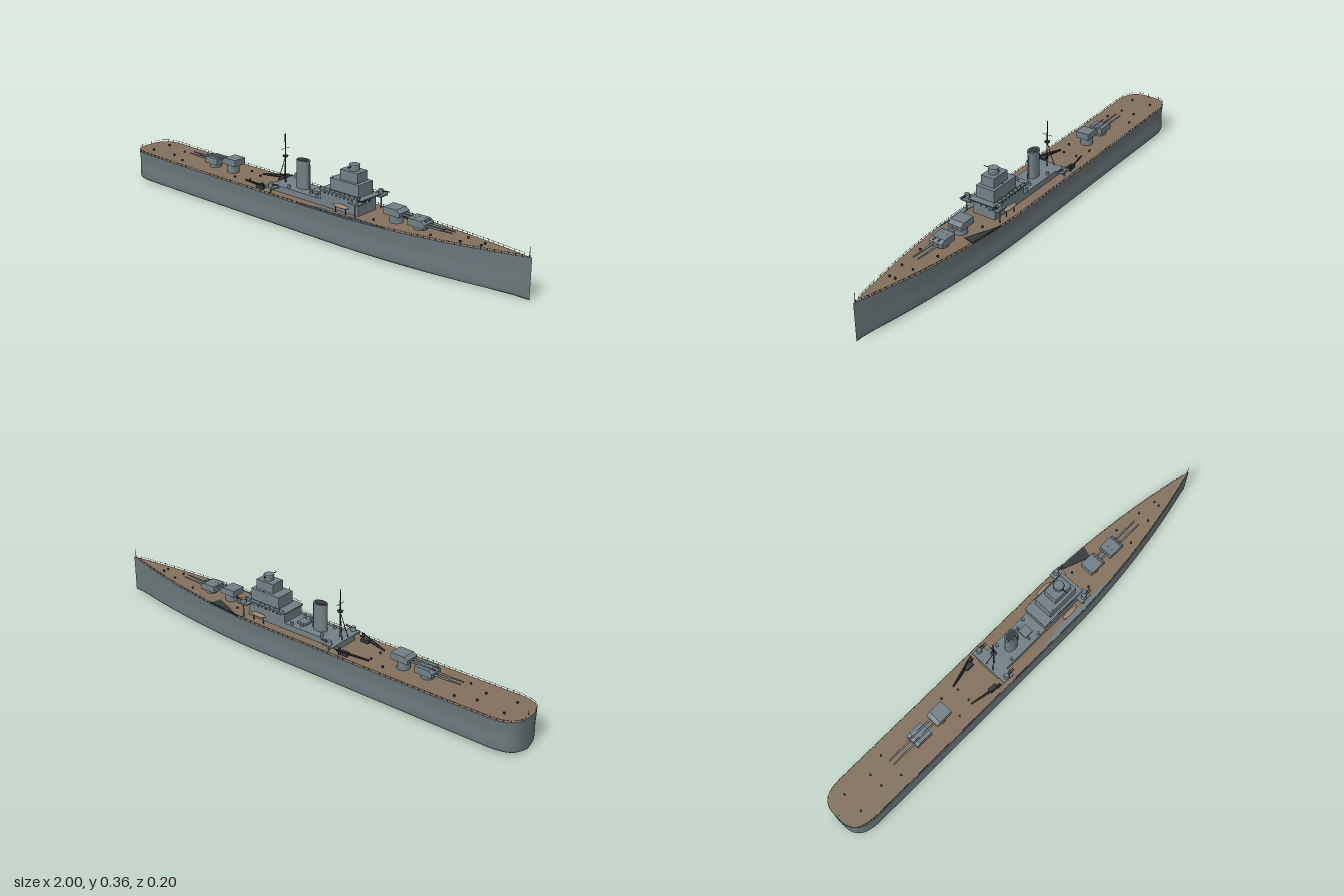
import * as THREE from 'three';
import { mergeGeometries } from 'three/addons/utils/BufferGeometryUtils.js';

const mat = (name, color, side = THREE.FrontSide) => {
  const m = new THREE.MeshStandardMaterial({ color, side });
  m.name = name;
  return m;
};

// Deck sheer and half-breadth of the hull along its length
const deckY = x => 0.133 + 0.027 * Math.max(0, (x - 0.1) / 0.9) ** 1.6 + 0.005 * Math.max(0, (-x - 0.4) / 0.6) ** 2;
function halfWidth(x) {
  if (x < -0.87) return 0.102 * Math.cbrt(Math.max(0, 1 - ((-0.87 - x) / 0.13) ** 3));
  const t = Math.max(0, (x - 0.15) / 0.85);
  return 0.102 * (1 - t * t);
}

// Surface through cross-sections spaced along x
function loft(xs, section, flip = false) {
  const pos = [], idx = [];
  const n = section(xs[0]).length;
  xs.forEach(x => section(x).forEach(([z, y]) => pos.push(x, y, z)));
  for (let i = 0; i < xs.length - 1; i++) {
    for (let j = 0; j < n - 1; j++) {
      const a = i * n + j, b = a + n, c = b + 1, d = a + 1;
      if (flip) idx.push(a, c, b, a, d, c);
      else idx.push(a, b, c, a, c, d);
    }
  }
  const g = new THREE.BufferGeometry();
  g.setAttribute('position', new THREE.Float32BufferAttribute(pos, 3));
  g.setIndex(idx);
  g.computeVertexNormals();
  return g;
}

// Thin round bar between two points
function barGeo(a, b, r) {
  const p = new THREE.Vector3(...a), q = new THREE.Vector3(...b), d = q.clone().sub(p);
  const g = new THREE.CylinderGeometry(r, r, d.length(), 6);
  g.applyQuaternion(new THREE.Quaternion().setFromUnitVectors(new THREE.Vector3(0, 1, 0), d.normalize()));
  return g.translate((p.x + q.x) / 2, (p.y + q.y) / 2, (p.z + q.z) / 2);
}

export function createModel() {
  const ship = new THREE.Group();
  ship.name = 'warship';
  const hullGrey = mat('hull grey', 0x6a777b);
  const grey = mat('superstructure grey', 0x718086);
  const wood = mat('deck wood', 0x82705c);
  const dark = mat('dark fittings', 0x33383c);
  const tan = mat('boat tan', 0x97866f);

  const add = (name, geo, material, x = 0, y = 0, z = 0, parent = ship) => {
    const m = new THREE.Mesh(geo, material);
    m.name = name;
    m.position.set(x, y, z);
    parent.add(m);
    return m;
  };
  // Box given by its extents and half depth
  const block = (name, x0, x1, y0, y1, hz, material = grey, z = 0) =>
    add(name, new THREE.BoxGeometry(x1 - x0, y1 - y0, hz * 2), material, (x0 + x1) / 2, (y0 + y1) / 2, z);
  const drum = (name, r0, r1, h, material, x, y, z, parent = ship) =>
    add(name, new THREE.CylinderGeometry(r1, r0, h, 20), material, x, y + h / 2, z, parent);
  const bar = (name, a, b, r, material = dark, parent = ship) => add(name, barGeo(a, b, r), material, 0, 0, 0, parent);

  // Hull: stations are crowded around the rounded stern
  const xs = [];
  for (let i = 0; i <= 14; i++) xs.push(-0.87 - 0.13 * Math.cos((i / 14) * Math.PI / 2));
  for (let i = 1; i <= 44; i++) xs.push(-0.87 + 1.87 * i / 44);
  const profile = [[0, 0.002], [0.6, 0.006], [0.9, 0.011], [0.975, 0.016], [1, 0.026], [1, 0.055], [0.955, 0.072], [0.965, 0.1]];
  for (const s of [1, -1]) {
    add(s > 0 ? 'hullPlusZ' : 'hullMinusZ', loft(xs, x => {
      const w = halfWidth(x) * s;
      return [...profile.map(([z, y]) => [z * w, y]), [w, deckY(x)]];
    }, s < 0), hullGrey);
  }
  add('mainDeck', loft(xs, x => [[halfWidth(x), deckY(x)], [-halfWidth(x), deckY(x)]]), wood);

  // Guard rails around the deck edge
  for (const s of [1, -1]) {
    const parts = [];
    const edge = (x, h) => [x, deckY(x) + h, s * halfWidth(x) * 0.985];
    for (let i = 0; i <= 80; i++) {
      const x = -0.995 + 1.985 * i / 80;
      parts.push(barGeo(edge(x, 0), edge(x, 0.009), 0.0008));
    }
    const rail = xs.filter(x => x > -0.9999 && x < 0.995);
    for (let i = 0; i < rail.length - 1; i++) parts.push(barGeo(edge(rail[i], 0.008), edge(rail[i + 1], 0.008), 0.0005));
    add('guardRail', mergeGeometries(parts), dark);
  }
  bar('jackStaff', [0.99, 0.158, 0], [0.99, 0.198, 0], 0.001);
  bar('ensignStaff', [-0.99, 0.137, 0], [-0.99, 0.155, 0], 0.001);

  // Twin gun turrets: a sloping gunhouse on a round base
  const turret = (name, x, base, dir) => {
    const g = new THREE.Group();
    g.name = name;
    g.position.set(x, base, 0);
    g.rotation.y = dir > 0 ? 0 : Math.PI;
    ship.add(g);
    const low = deckY(x) - base - 0.002;
    drum('barbette', 0.026, 0.026, 0.004 - low, grey, 0, low, 0, g);
    const s = new THREE.Shape([[-0.04, 0], [0.036, 0], [0.036, 0.016], [0.02, 0.028], [-0.04, 0.028]].map(p => new THREE.Vector2(...p)));
    const house = new THREE.ExtrudeGeometry(s, { depth: 0.06, bevelEnabled: false }).translate(0, 0, -0.03);
    add('gunhouse', house, grey, 0, 0.003, 0, g);
    for (const z of [-0.011, 0.011]) {
      bar('gunBarrel', [0.03, 0.012, z], [0.1, 0.013, z], 0.0042, grey, g);
      bar('gunMuzzle', [0.1, 0.013, z], [0.148, 0.014, z], 0.003, grey, g);
    }
  };
  turret('forwardLowerTurret', 0.526, 0.15, 1);
  turret('forwardUpperTurret', 0.413, 0.165, 1);
  turret('aftUpperTurret', -0.46, 0.165, -1);
  turret('aftLowerTurret', -0.568, 0.147, -1);

  // Deckhouse and stepped bridge tower
  block('deckhouse', -0.19, 0.09, 0.128, 0.158, 0.052);
  block('deckLocker', 0.0, 0.04, 0.158, 0.168, 0.02);
  block('bridgeBase', 0.08, 0.27, 0.128, 0.198, 0.052);
  block('bridgePlatform', 0.075, 0.29, 0.197, 0.203, 0.057);
  block('bridgeMiddle', 0.118, 0.262, 0.203, 0.253, 0.042);
  block('bridgeUpper', 0.158, 0.245, 0.253, 0.293, 0.03);
  drum('director', 0.02, 0.02, 0.023, grey, 0.205, 0.293, 0);
  drum('directorCap', 0.022, 0.02, 0.004, grey, 0.205, 0.313, 0);
  bar('rangefinder', [0.205, 0.31, -0.03], [0.205, 0.31, 0.045], 0.0018);
  bar('wingAerial', [0.13, 0.2, 0.04], [0.13, 0.265, 0.04], 0.001);
  bar('wingYard', [0.2, 0.256, -0.044], [0.2, 0.256, -0.02], 0.001);
  for (let i = 0; i < 9; i++) block('bridgeWindow', 0.2895, 0.291, 0.198, 0.202, 0.003, dark, -0.048 + i * 0.012);
  for (const s of [1, -1]) {
    for (let i = 0; i < 9; i++) block('sideWindow', 0.095 + i * 0.02, 0.104 + i * 0.02, 0.186, 0.192, 0.001, dark, s * 0.052);
    block('doorway', 0.2695, 0.271, 0.175, 0.19, 0.005, dark, s * 0.013);
  }
  const railing = [];
  for (const s of [1, -1]) {
    for (let i = 0; i <= 8; i++) railing.push(barGeo([0.08 + i * 0.025, 0.203, s * 0.055], [0.08 + i * 0.025, 0.212, s * 0.055], 0.0008));
    railing.push(barGeo([0.08, 0.212, s * 0.055], [0.285, 0.212, s * 0.055], 0.0007));
  }
  add('bridgeRailing', mergeGeometries(railing), dark);

  // Oval funnel with a dark mouth
  const funnel = drum('funnel', 0.031, 0.03, 0.118, grey, -0.06, 0.155, 0);
  const rim = drum('funnelRim', 0.032, 0.032, 0.006, grey, -0.06, 0.268, 0);
  const mouth = drum('funnelMouth', 0.026, 0.026, 0.002, dark, -0.06, 0.2735, 0);
  [funnel, rim, mouth].forEach(m => { m.scale.z = 0.68; });
  bar('steamPipe', [-0.025, 0.155, 0], [-0.025, 0.262, 0], 0.003, grey);

  // Tripod mast
  bar('mast', [-0.157, 0.15, 0], [-0.157, 0.36, 0], 0.0025);
  for (const s of [1, -1]) bar('mastLeg', [-0.188, 0.135, s * 0.022], [-0.157, 0.265, 0], 0.0015);
  drum('mastTop', 0.01, 0.012, 0.006, dark, -0.157, 0.265, 0);
  bar('mastYard', [-0.157, 0.3, -0.022], [-0.157, 0.3, 0.022], 0.001);

  for (const s of [1, -1]) {
    // Secondary gun mounts on sponsons
    for (const [x, y] of [[0.275, 0.191], [-0.165, 0.152]]) {
      block('gunSponson', x - 0.025, x + 0.025, y, y + 0.006, 0.022, grey, s * 0.066);
      bar('sponsonPost', [x, 0.132, s * 0.078], [x, y, s * 0.078], 0.003, grey);
      drum('secondaryMount', 0.012, 0.009, 0.016, grey, x, y + 0.006, s * 0.075);
      for (const d of [-0.004, 0.004]) bar('secondaryGun', [x, y + 0.015, s * 0.075 + d], [x + 0.04, y + 0.018, s * 0.075 + d], 0.0015);
    }
    // Ship's boats
    const boat = add('shipsBoat', new THREE.SphereGeometry(1, 14, 10), tan, 0.2, 0.164, s * 0.072);
    boat.scale.set(0.04, 0.008, 0.011);
    for (const x of [0.175, 0.225]) bar('boatCradle', [x, 0.133, s * 0.072], [x, 0.162, s * 0.072], 0.002);
    // Crane with a two-chord boom
    bar('craneBoomTop', [-0.2, 0.155, s * 0.085], [-0.335, 0.14, s * 0.05], 0.003);
    bar('craneBoomBottom', [-0.2, 0.145, s * 0.075], [-0.335, 0.138, s * 0.05], 0.003);
    bar('cranePost', [-0.215, 0.133, s * 0.075], [-0.215, 0.16, s * 0.075], 0.006);
    block('craneWinch', -0.25, -0.215, 0.133, 0.146, 0.01, dark, s * 0.066);
    // Bollards and ventilators scattered over the deck
    for (const [x, z] of [[-0.92, 0.045], [-0.8, 0.03], [-0.72, 0.055], [-0.4, 0.05], [-0.33, 0.03], [0.34, 0.045], [0.6, 0.04], [0.72, 0.025], [0.8, 0.012]])
      drum('bollard', 0.004, 0.004, 0.007, dark, x, deckY(x), s * z);
    for (const [x, z] of [[-0.1, 0.04], [0.01, 0.03], [0.05, 0.042]])
      drum('ventilator', 0.006, 0.006, 0.014, grey, x, 0.156, s * z);
  }

  // Thin painted plates that follow the sheer of the deck
  const deckPlate = (name, outline, material) => {
    const shape = new THREE.Shape(outline.map(([x, z]) => new THREE.Vector2(x, -z)));
    const geo = new THREE.ExtrudeGeometry(shape, { depth: 0.003, bevelEnabled: false }).rotateX(-Math.PI / 2);
    const p = geo.attributes.position;
    for (let i = 0; i < p.count; i++) p.setY(i, p.getY(i) + deckY(p.getX(i)));
    geo.computeVertexNormals();
    add(name, geo, material);
  };
  deckPlate('darkDeckPlate', [[0.29, -0.097], [0.455, -0.086], [0.44, -0.038]], dark);
  deckPlate('greyDeckPlate', [[0.0, 0.1], [0.12, 0.076], [0.3, 0.078], [0.43, 0.088], [0.3, 0.097]], grey);

  return ship;
}
